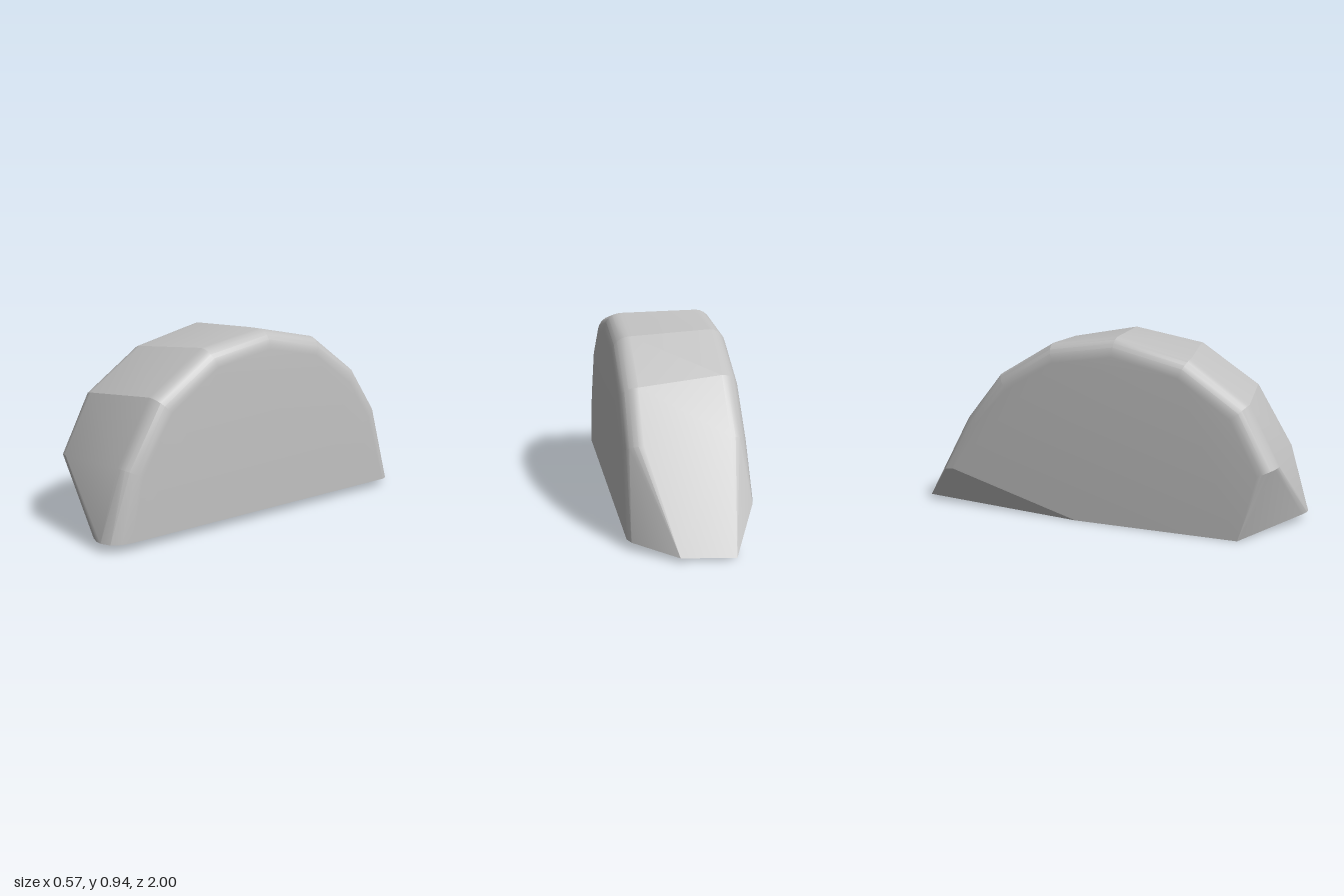
import * as THREE from 'three';
import { ConvexGeometry } from 'three/addons/geometries/ConvexGeometry.js';
import { toCreasedNormals } from 'three/addons/utils/BufferGeometryUtils.js';

export function createModel() {
  const grey = new THREE.MeshStandardMaterial({ color: 0xc0c0c0 });
  grey.name = 'stone grey';

  // Arch outlines [z, y] for each side, front to back; the left one is slightly turned
  const nearArch = [[0.9, 0.37], [0.72, 0.67], [0.42, 0.87], [0.06, 0.935], [-0.29, 0.87], [-0.57, 0.68], [-0.74, 0.45]];
  const farArch = [[0.93, 0.36], [0.78, 0.645], [0.49, 0.845], [0.12, 0.935], [-0.23, 0.885], [-0.52, 0.715], [-0.72, 0.47]];

  const points = [];
  const add = (x, y, z) => points.push(new THREE.Vector3(x, y, z));

  // Rounded rim from the arch surface to each flat side
  const steps = 6;
  for (const [side, arch] of [[1, nearArch], [-1, farArch]]) {
    for (const [z, y] of arch) {
      for (let i = 0; i <= steps; i++) {
        const t = (i / steps) * Math.PI / 2;
        const s = 1 - 0.1 * (1 - Math.cos(t));
        add(side * (0.2 + 0.087 * Math.sin(t)), y * s, 0.08 + (z - 0.08) * s);
      }
    }
  }

  // Sloping base outline with a cut front corner and a tapered tail
  const base = [
    [0.12, 0.04, 0.985], [0.17, 0.04, 1], [0.2, 0.04, 1], [0.25, 0.04, 0.98], [0.277, 0.04, 0.94], [0.287, 0.04, 0.89],
    [0.287, 0.038, -0.79], [0.27, 0.036, -0.83], [0.08, 0.018, -1], [-0.17, 0.004, -1],
    [-0.287, 0, -0.08], [-0.287, 0, 0.76],
  ];
  base.forEach((p) => add(...p));

  // Chamfered lower corner beside the tail
  add(-0.287, 0.2, -0.79);
  add(-0.275, 0.19, -0.84);

  const body = new THREE.Mesh(toCreasedNormals(new ConvexGeometry(points), 0.3), grey);
  body.name = 'halfDiscBody';

  const group = new THREE.Group();
  group.name = 'halfDiscStone';
  group.add(body);
  return group;
}
